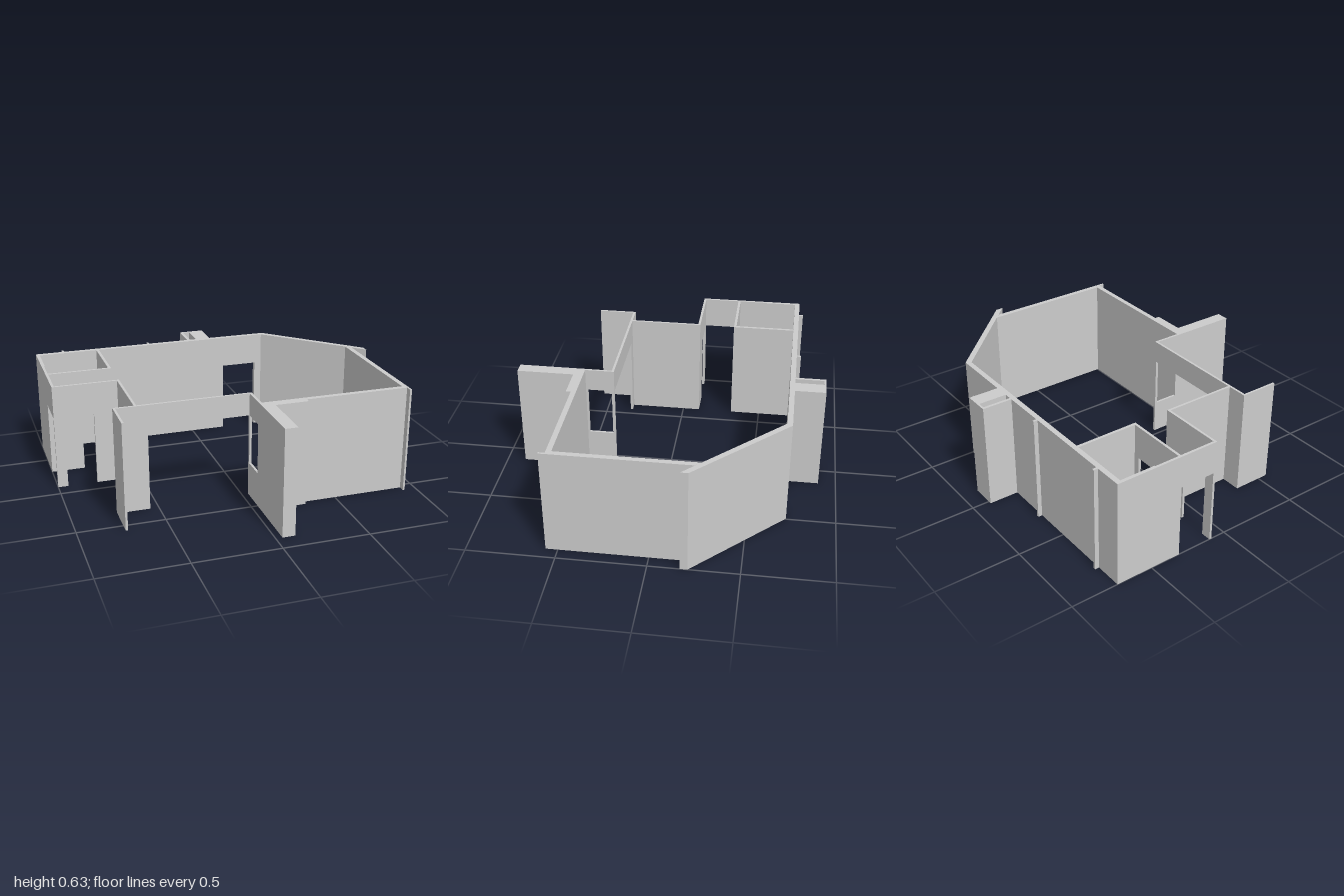
import * as THREE from 'three';

const H = 0.627; // wall height
const DOOR = 0.435; // small door height
const WIDE = 0.495; // wide opening height

export function createModel() {
  const model = new THREE.Group();
  model.name = 'roomWalls';
  const mat = new THREE.MeshStandardMaterial({ color: 0xcccccc, flatShading: true });

  // Upright block given by its plan rectangle and height range
  const block = (parent, name, x0, x1, z0, z1, y0 = 0, y1 = H) => {
    const mesh = new THREE.Mesh(new THREE.BoxGeometry(x1 - x0, y1 - y0, z1 - z0), mat);
    mesh.position.set((x0 + x1) / 2, (y0 + y1) / 2, (z0 + z1) / 2);
    mesh.name = name;
    parent.add(mesh);
  };

  // Upright prism from plan corners [x, z]
  const prism = (parent, name, corners) => {
    const shape = new THREE.Shape(corners.map(([x, z]) => new THREE.Vector2(x, -z)));
    const geo = new THREE.ExtrudeGeometry(shape, { depth: H, bevelEnabled: false });
    geo.rotateX(-Math.PI / 2);
    const mesh = new THREE.Mesh(geo, mat);
    mesh.name = name;
    parent.add(mesh);
  };

  // Wall along x with one opening from a to b
  const wallX = (name, x0, x1, z0, z1, a, b, top) => {
    const g = new THREE.Group();
    g.name = name;
    block(g, name + 'RightPart', x0, a, z0, z1);
    block(g, name + 'LeftPart', b, x1, z0, z1);
    block(g, name + 'Lintel', a, b, z0, z1, top, H);
    model.add(g);
  };

  // Wall along z with one opening from a to b, with an optional sill
  const wallZ = (name, x0, x1, z0, z1, a, b, top, sill = 0) => {
    const g = new THREE.Group();
    g.name = name;
    block(g, name + 'BackPart', x0, x1, z0, a);
    block(g, name + 'FrontPart', x0, x1, b, z1);
    block(g, name + 'Lintel', x0, x1, a, b, top, H);
    if (sill) block(g, name + 'Sill', x0, x1, a, b, 0, sill);
    model.add(g);
  };

  // Back wall with door, small ribs outside
  wallX('backWall', -1, 0.485, -0.72, -0.69, 0.215, 0.435, DOOR);
  for (const x of [-0.83, -0.28]) block(model, 'backRib', x - 0.007, x + 0.007, -0.745, -0.72);

  // Chimney-like pier behind the back wall with a thin hollow shaft beside it
  block(model, 'backPier', 0.04, 0.13, -0.897, -0.72);
  block(model, 'shaftSide', -0.02, -0.003, -0.897, -0.72);
  block(model, 'shaftBack', -0.02, 0.04, -0.897, -0.885);

  // Slanted corner wall and left wall
  prism(model, 'slantedWall', [[0.478, -0.69], [1, -0.175], [1, -0.218], [0.495, -0.72], [0.478, -0.72]]);
  prism(model, 'leftWall', [[0.9, 0.53], [0.93, 0.53], [0.93, -0.243], [0.9, -0.273]]);

  // Front wall with its thicker part, end rib and projecting pier
  block(model, 'frontWall', 0.04, 0.93, 0.502, 0.532);
  block(model, 'frontWallThickening', 0.11, 0.305, 0.53, 0.56);
  block(model, 'frontRib', 0.918, 0.93, 0.53, 0.568);
  block(model, 'frontPier', 0.038, 0.112, 0.502, 0.892);

  // Recessed entrance: wide opening, side window and flank
  wallX('entranceWall', -0.74, 0.052, 0.332, 0.346, -0.55, 0.038, WIDE);
  wallZ('windowWall', 0.038, 0.052, 0.346, 0.502, 0.348, 0.49, WIDE, 0.2);
  block(model, 'entranceFlank', -0.74, -0.727, 0.332, 0.56);
  block(model, 'innerSideWall', -0.622, -0.608, -0.1, 0.332);

  // Closet and the small lobby in front of it
  block(model, 'closetOuterWall', -1, -0.98, -0.69, -0.48);
  block(model, 'closetOuterWallThin', -1, -0.985, -0.48, -0.317);
  block(model, 'closetInnerWall', -0.625, -0.608, -0.69, -0.317);
  wallX('closetFront', -0.985, -0.608, -0.332, -0.317, -0.8, -0.66, DOOR);
  wallX('lobbyFront', -1, -0.608, -0.104, -0.09, -0.94, -0.765, DOOR);
  block(model, 'lobbySideLintel', -1, -0.985, -0.317, -0.104, DOOR, H);

  return model;
}
